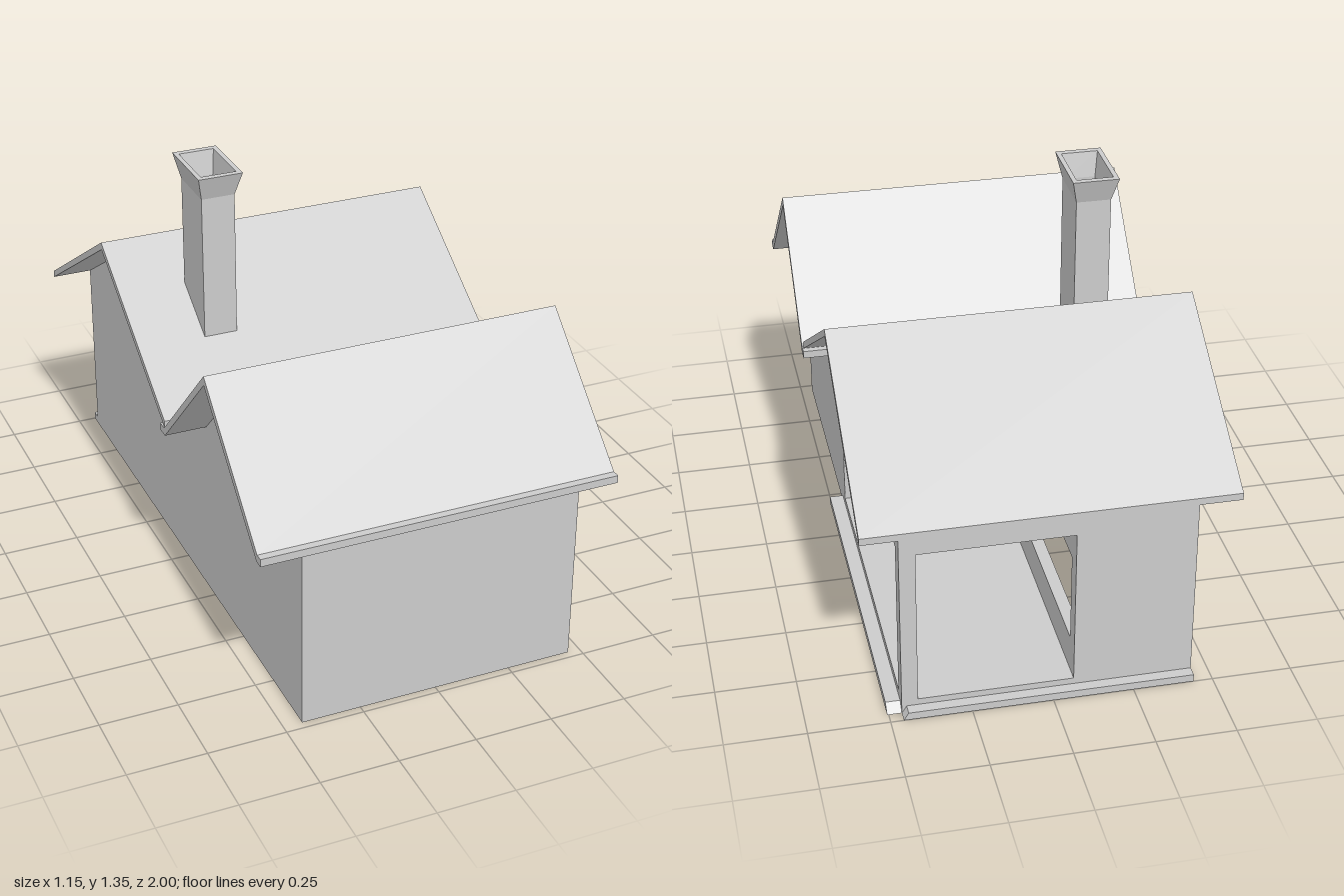
import * as THREE from 'three';

const mat = new THREE.MeshStandardMaterial({ color: 0xcccccc, flatShading: true, side: THREE.DoubleSide });

export function createModel() {
  const group = new THREE.Group();

  const add = (name, geometry) => {
    const mesh = new THREE.Mesh(geometry, mat);
    mesh.name = name;
    group.add(mesh);
    return mesh;
  };
  // Box given by its limits on each axis
  const box = (name, [x0, x1], [y0, y1], [z0, z1]) =>
    add(name, new THREE.BoxGeometry(x1 - x0, y1 - y0, z1 - z0)
      .translate((x0 + x1) / 2, (y0 + y1) / 2, (z0 + z1) / 2));
  const outline = (points, holes = []) => {
    const shape = new THREE.Shape(points.map(p => new THREE.Vector2(...p)));
    holes.forEach(h => shape.holes.push(new THREE.Path(h.map(p => new THREE.Vector2(...p)))));
    return shape;
  };
  const rect = (a0, a1, b0, b1) => [[a0, b0], [a1, b0], [a1, b1], [a0, b1]];
  // Profile drawn in (z, y), extruded from x1 back to x0
  const along = (name, shape, x0, x1) =>
    add(name, new THREE.ExtrudeGeometry(shape, { depth: x1 - x0, bevelEnabled: false })
      .rotateY(-Math.PI / 2).translate(x1, 0, 0));
  // Flat sheet drawn in (z, y) at a given x
  const sheet = (name, shape, x) =>
    add(name, new THREE.ShapeGeometry(shape).rotateY(-Math.PI / 2).translate(x, 0, 0));

  const L = -0.44, R = 0.46, F = 0.975, B = -0.965, inner = -0.07;

  // Side walls with two gables; one is open to the porch
  const gables = [[F, 0], [F, 0.615], [0.57, 0.98], [0.2, 0.615], [0.19, 0.635],
    [-0.38, 0.998], [B, 0.632], [B, 0]];
  sheet('closedSideWall', outline(gables), L);
  sheet('porchSideWall', outline(gables, [rect(-0.91, 0.15, 0.045, 0.57)]), R);

  // Front wall, and back wall with porch opening
  add('frontWall', new THREE.PlaneGeometry(R - L, 0.615).translate((L + R) / 2, 0.3075, F));
  add('backWall', new THREE.ShapeGeometry(
    outline(rect(L, R, 0, 0.632), [rect(inner, 0.41, 0.045, 0.57)])).translate(0, 0, B));

  // Porch: floor, ceiling, corner post and end wall
  const edge = R - 0.001, back = B + 0.001;
  box('porchFloor', [inner, edge], [0, 0.045], [back, 0.2]);
  box('porchCeiling', [inner, edge], [0.57, 0.59], [back, 0.2]);
  box('cornerPost', [0.41, edge], [0.045, 0.57], [back, -0.91]);
  box('porchEndWall', [inner, edge], [0.045, 0.57], [0.15, 0.2]);

  // Wall between porch and room, with window and hearth openings
  const hearth = rect(-0.215, -0.025, 0.2, 0.38);
  along('porchInnerWall', outline(rect(back, 0.2, 0, 0.59),
    [rect(-0.91, -0.38, 0.16, 0.455), hearth]), inner - 0.04, inner);
  along('hearthSurround', outline(rect(-0.29, 0.05, 0.18, 0.4), [hearth]), -0.4, inner - 0.04);
  box('hearthBack', [-0.42, -0.4], [0.18, 0.4], [-0.29, 0.05]);

  // Roofs
  along('frontRoof', outline([[1, 0.605], [1, 0.63], [0.975, 0.63], [0.57, 1], [0.2, 0.63],
    [0.165, 0.63], [0.165, 0.605], [0.205, 0.605], [0.57, 0.97], [0.97, 0.605]]), -0.577, 0.577);
  along('backRoof', outline([[0.195, 0.625], [0.195, 0.65], [-0.38, 1.013], [B, 0.648],
    [B, 0.625], [-0.38, 0.988]]), -0.573, 0.573);

  // Low steps along the two open sides, each tapered at the shared corner
  along('sideStep', outline([[0.2, 0], [0.2, 0.025], [-0.935, 0.025], [B, 0]]), R, 0.505);
  add('backStep', new THREE.ExtrudeGeometry(
    outline([[L, 0], [R, 0], [0.445, 0.025], [L, 0.025]]),
    { depth: 0.035, bevelEnabled: false }).translate(0, 0, -1));

  // Chimney: rectangular rings from outside base, over the flared rim, down the flue
  const cx = -0.296, cz = -0.12;
  const rings = [[0.055, 0.09, 0.76], [0.055, 0.09, 1.27], [0.073, 0.118, 1.35],
    [0.058, 0.098, 1.35], [0.048, 0.082, 1.27], [0.048, 0.082, 0.8]];
  const corners = [[-1, 1], [1, 1], [1, -1], [-1, -1]];
  const pos = [], index = [];
  rings.forEach(([hx, hz, y], r) => corners.forEach(([sx, sz], i) => {
    pos.push(cx + sx * hx, y, cz + sz * hz);
    if (r === rings.length - 1) return;
    const a = r * 4 + i, b = r * 4 + (i + 1) % 4;
    index.push(a, b, b + 4, a, b + 4, a + 4);
  }));
  const last = (rings.length - 1) * 4;
  index.push(last, last + 1, last + 2, last, last + 2, last + 3);
  const chimney = new THREE.BufferGeometry();
  chimney.setAttribute('position', new THREE.Float32BufferAttribute(pos, 3));
  chimney.setIndex(index);
  const flat = chimney.toNonIndexed();
  flat.computeVertexNormals();
  add('chimney', flat);

  return group;
}
